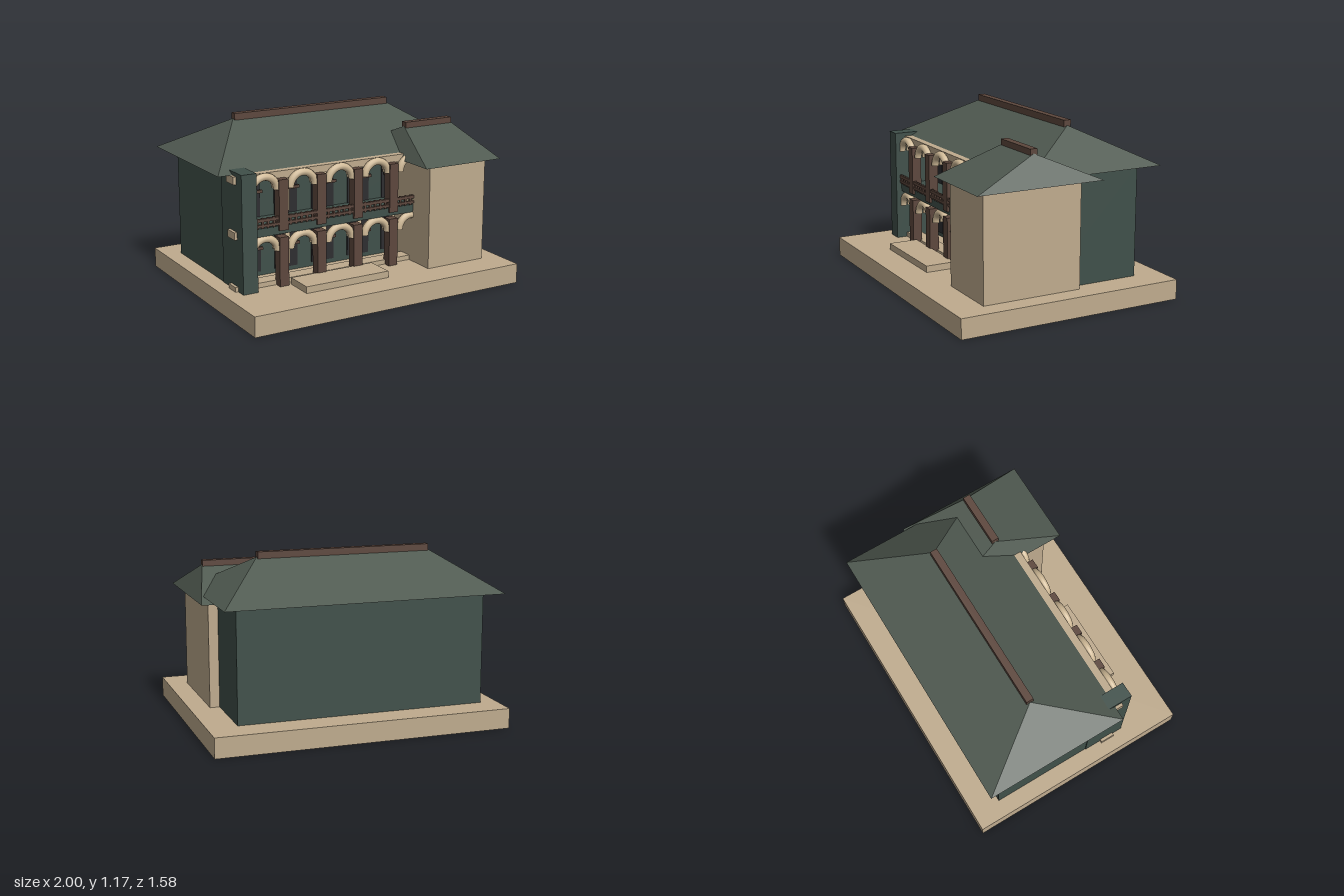
import * as THREE from 'three';

const mat = (name, color) => {
  const m = new THREE.MeshStandardMaterial({ color });
  m.name = name;
  return m;
};

export function createModel() {
  const model = new THREE.Group();
  model.name = 'arcadedHouse';
  const stone = mat('tan stone', 0xbfab8e);
  const trim = mat('pale trim', 0xd0ba97);
  const wood = mat('brown wood', 0x5d473d);
  const wall = mat('green wall', 0x40504a);
  const roof = mat('roof green', 0x505a51);
  const glass = mat('dark glass', 0x2d2d30);

  const add = (name, geometry, material, parent = model) => {
    const mesh = new THREE.Mesh(geometry, material);
    mesh.name = name;
    parent.add(mesh);
    return mesh;
  };
  // Box given by its limits on each axis
  const box = (name, material, [x0, x1], [y0, y1], [z0, z1], parent = model) => {
    const mesh = add(name, new THREE.BoxGeometry(x1 - x0, y1 - y0, z1 - z0), material, parent);
    mesh.position.set((x0 + x1) / 2, (y0 + y1) / 2, (z0 + z1) / 2);
    return mesh;
  };
  // Hipped roof: a box whose top face is squeezed to a ridge line
  const hipRoof = (name, [x0, x1], [y0, y1], [z0, z1], [r0, r1]) => {
    const g = new THREE.BoxGeometry(1, 1, 1).toNonIndexed();
    const p = g.attributes.position;
    for (let i = 0; i < p.count; i++) {
      const right = p.getX(i) > 0, top = p.getY(i) > 0, front = p.getZ(i) > 0;
      if (top) p.setXYZ(i, right ? r1 : r0, y1, (z0 + z1) / 2);
      else p.setXYZ(i, right ? x1 : x0, y0, front ? z1 : z0);
    }
    g.computeVertexNormals();
    add(name, g, roof);
  };

  // Ground and masses
  box('base', stone, [-1, 1], [0, 0.135], [-0.79, 0.79]);
  box('entranceStep', stone, [-0.53, 0.085], [0.135, 0.18], [0.38, 0.587]);
  box('mainBody', wall, [-0.885, 0.8], [0.135, 0.88], [-0.59, 0.12]);
  box('endWall', wall, [-0.89, -0.785], [0.135, 0.915], [0.12, 0.415]);
  box('wing', stone, [0.415, 0.865], [0.135, 0.84], [-0.125, 0.57]);
  box('wingRoofPlate', wall, [0.5, 0.81], [0.8, 0.852], [-0.1, 0.48]);

  // Roofs with ridge beams
  hipRoof('mainRoof', [-0.99, 0.902], [0.89, 1.14], [-0.705, 0.29], [-0.64, 0.555]);
  box('mainRidge', wood, [-0.64, 0.555], [1.13, 1.175], [-0.233, -0.183]);
  hipRoof('wingRoof', [0.335, 0.935], [0.85, 1.045], [-0.25, 0.645], [0.45, 0.825]);
  box('wingRidge', wood, [0.45, 0.825], [1.035, 1.075], [0.173, 0.223]);

  // Horizontal bands of the arcade
  box('floorBand', stone, [-0.91, 0.415], [0.135, 0.167], [0.24, 0.34]);
  box('middleBand', stone, [-0.91, 0.415], [0.48, 0.53], [0.24, 0.34]);
  box('topBand', stone, [-0.91, 0.415], [0.84, 0.89], [0.24, 0.34]);
  box('balconySlab', wall, [-0.785, 0.415], [0.485, 0.54], [0.12, 0.375]);

  const bays = [-0.705, -0.43, -0.15, 0.13, 0.405];
  const floors = [
    { y0: 0.165, y1: 0.43, bar: 0.335, spring: 0.375, col: [0.135, 0.465], post: [0.19, 0.42] },
    { y0: 0.54, y1: 0.81, bar: 0.72, spring: 0.78, col: [0.51, 0.845], post: [0.56, 0.785] },
  ];
  const archGeo = new THREE.TorusGeometry(0.09, 0.025, 10, 24, Math.PI);
  const innerArchGeo = new THREE.TorusGeometry(0.085, 0.012, 6, 20, Math.PI);
  for (const f of floors) {
    const storey = new THREE.Group();
    storey.name = 'arcadeStorey';
    model.add(storey);
    for (const x of bays) {
      // Window with a pale centre post behind each arch
      box('window', glass, [x - 0.085, x + 0.085], [f.y0, f.y1], [0.12, 0.128], storey);
      box('windowPost', trim, [x - 0.016, x + 0.016], f.post, [0.128, 0.15], storey);
      box('windowBar', wood, [x - 0.085, x + 0.085], [f.bar - 0.01, f.bar + 0.01], [0.15, 0.165], storey);
      add('arch', archGeo, trim, storey).position.set(x, f.spring, 0.36);
      add('innerArch', innerArchGeo, trim, storey).position.set(x, f.spring, 0.32);
    }
    for (const x of [-0.583, -0.305, -0.028, 0.25])
      box('column', wood, [x - 0.033, x + 0.033], f.col, [0.325, 0.392], storey);
  }

  // Balcony railing
  box('topRail', wood, [-0.785, 0.415], [0.585, 0.605], [0.368, 0.388]);
  box('bottomRail', wood, [-0.785, 0.415], [0.55, 0.567], [0.368, 0.388]);
  for (let i = 0; i < 30; i++) {
    const x = -0.77 + i * 0.04;
    box('baluster', wood, [x - 0.007, x + 0.007], [0.54, 0.61], [0.371, 0.385]);
  }
  return model;
}
